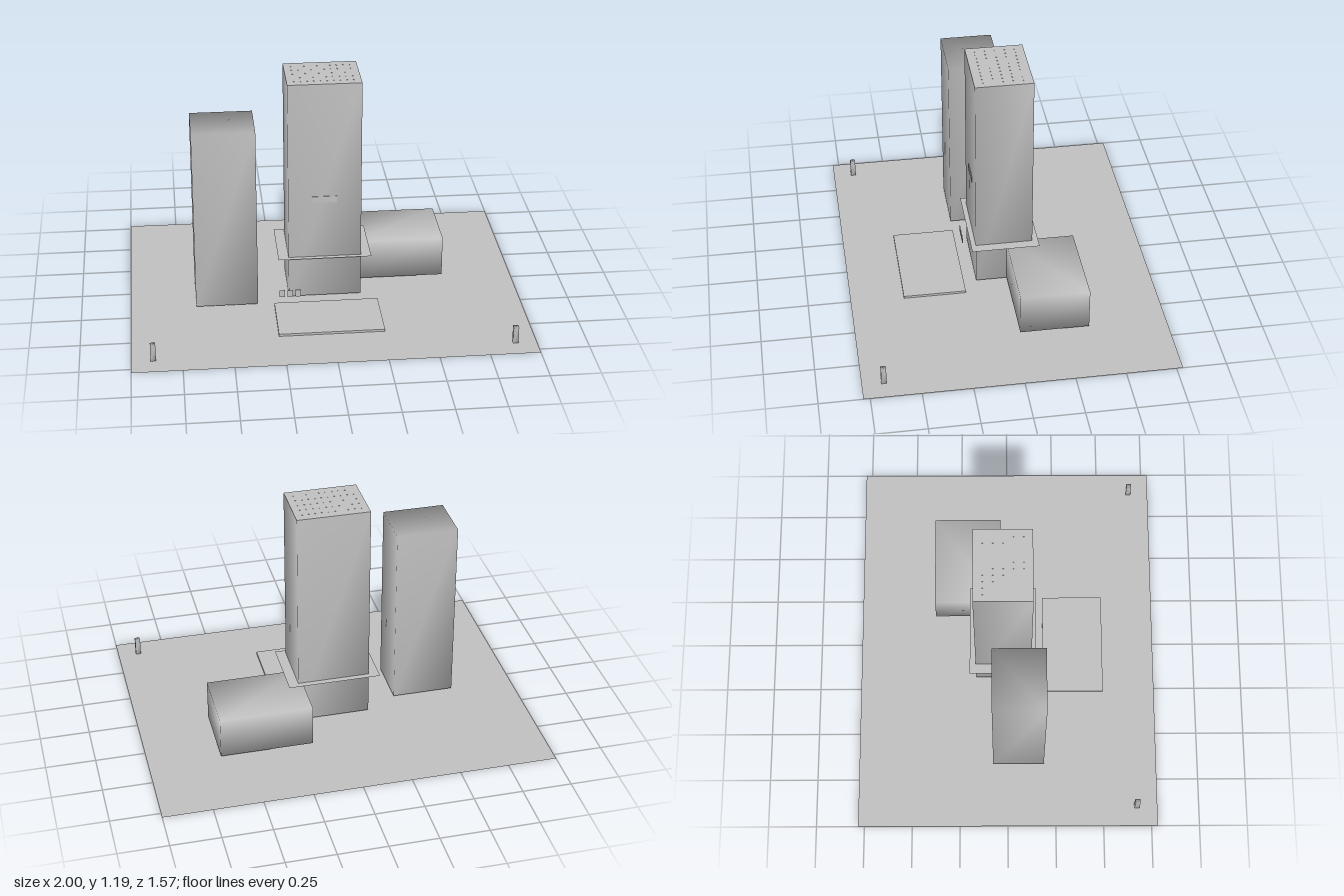
import * as THREE from 'three';
import { mergeVertices } from 'three/addons/utils/BufferGeometryUtils.js';

export function createModel() {
  const root = new THREE.Group();
  root.name = 'towerSite';
  const grey = new THREE.MeshStandardMaterial({ color: 0xc0c0c0, side: THREE.DoubleSide });
  grey.name = 'plain grey';

  // Box from its limits; soft boxes share corner normals, so shading rolls around the edges
  function block(name, [x0, x1], [y0, y1], [z0, z1], soft = false) {
    let geo = new THREE.BoxGeometry(x1 - x0, y1 - y0, z1 - z0);
    if (soft) {
      geo.deleteAttribute('normal');
      geo.deleteAttribute('uv');
      geo = mergeVertices(geo);
      geo.computeVertexNormals();
    }
    const mesh = new THREE.Mesh(geo, grey);
    mesh.name = name;
    mesh.position.set((x0 + x1) / 2, (y0 + y1) / 2, (z0 + z1) / 2);
    root.add(mesh);
    return mesh;
  }

  // Level sheet without thickness
  function sheet(name, [x0, x1], y, [z0, z1]) {
    const mesh = new THREE.Mesh(new THREE.PlaneGeometry(x1 - x0, z1 - z0).rotateX(-Math.PI / 2), grey);
    mesh.name = name;
    mesh.position.set((x0 + x1) / 2, y, (z0 + z1) / 2);
    root.add(mesh);
    return mesh;
  }

  // Site and forecourt
  sheet('ground', [-1, 1], 0, [-0.783, 0.783]);
  block('forecourt', [-0.267, 0.265], [0.003, 0.015], [0.19, 0.51]);

  // Main tower with its flat roof and the canopy around it
  block('mainTower', [-0.187, 0.185], [0.015, 1.188], [-0.167, 0.125], true);
  sheet('mainRoof', [-0.187, 0.185], 1.19, [-0.167, 0.125]);
  sheet('canopy', [-0.24, 0.237], 0.24, [-0.198, 0.15]);

  // Neighbouring buildings
  block('sideTower', [-0.667, -0.35], [0.015, 0.977], [-0.077, 0.19], true);
  block('lowBuilding', [0.16, 0.635], [0.015, 0.23], [-0.385, -0.035], true);

  // Blank plate on the tower front
  block('frontPlate', [-0.065, 0.06], [0.547, 0.58], [0.125, 0.128]);

  // Upright panels beside the entrance
  for (let i = 0; i < 3; i++) {
    const x = -0.237 + i * 0.041;
    block('entrancePanel', [x, x + 0.027], [0.028, 0.066], [0.153, 0.156]);
  }

  // Small roof vents in rows
  for (let i = 0; i < 10; i++)
    for (let j = 0; j < 5; j++) {
      const x = -0.15 + i * 0.033, z = -0.12 + j * 0.05;
      block('roofVent', [x - 0.003, x + 0.003], [1.189, 1.192], [z - 0.003, z + 0.003]);
    }

  // Posts at the front corners
  for (const s of [-1, 1]) {
    const x = s * 0.893;
    block('cornerPost', [x - 0.013, x + 0.013], [0.003, 0.092], [0.662, 0.688], true);
  }

  return root;
}
